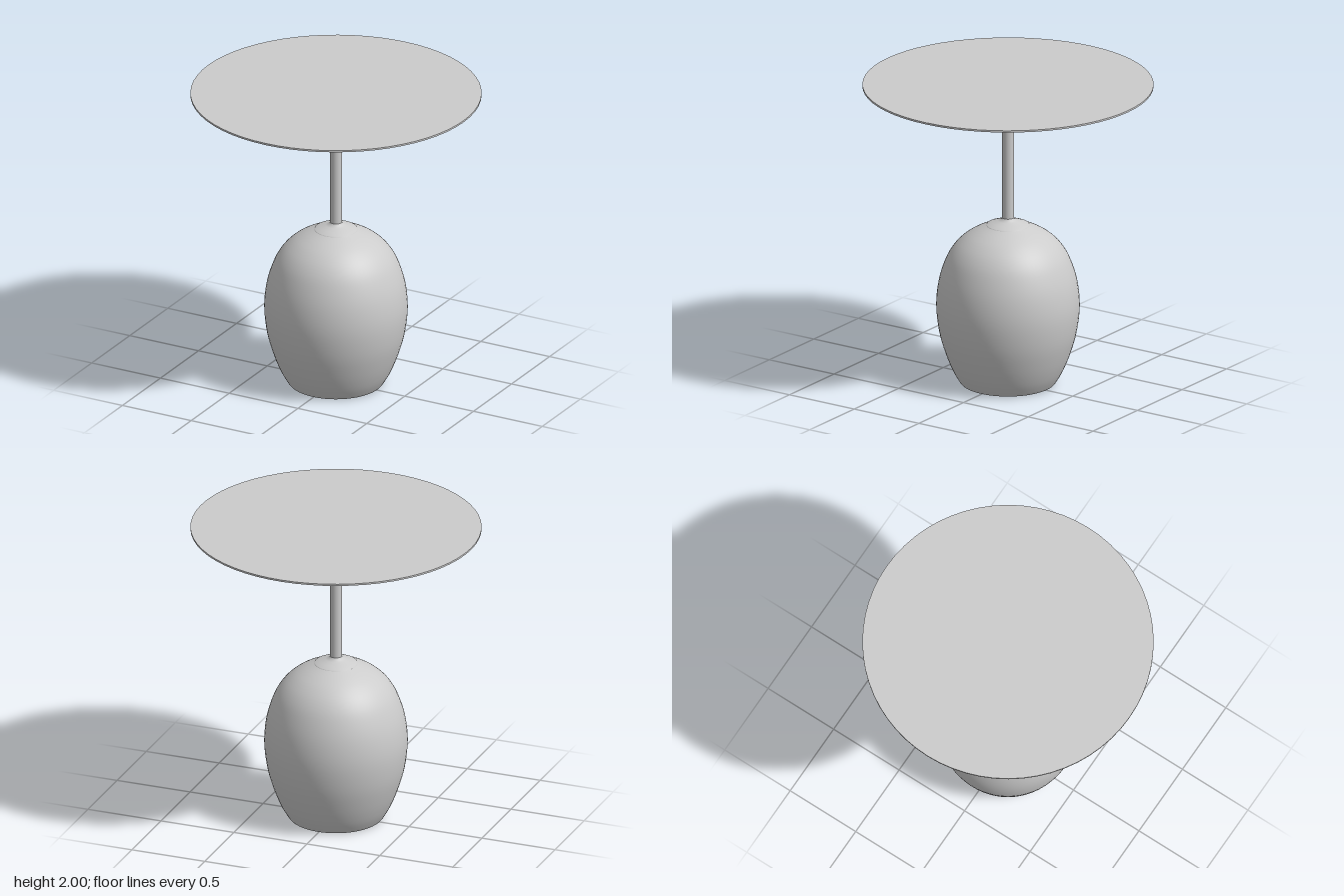
import * as THREE from 'three';

const material = new THREE.MeshStandardMaterial({ color: 0xcccccc });
const SIDES = 64;

const points = (pairs) => pairs.map(([r, y]) => new THREE.Vector2(r, y));

function addMesh(group, name, geometry) {
  const mesh = new THREE.Mesh(geometry, material);
  mesh.name = name;
  group.add(mesh);
  return mesh;
}

export function createModel() {
  const group = new THREE.Group();
  group.name = 'pedestalTable';

  // Rounded, barrel-like base
  const side = new THREE.SplineCurve(points([
    [0.308, 0.012], [0.35, 0.085], [0.397, 0.2], [0.439, 0.35], [0.457, 0.52],
    [0.441, 0.68], [0.397, 0.82], [0.345, 0.91], [0.28, 0.975], [0.21, 1.02], [0.135, 1.055],
  ])).getPoints(40);
  const rim = points([[0.292, 0], [0.301, 0.004]]);
  addMesh(group, 'base', new THREE.LatheGeometry([...rim, ...side], SIDES));

  // Flat underside of the base
  const underside = new THREE.CircleGeometry(0.292, SIDES);
  underside.rotateX(Math.PI / 2);
  addMesh(group, 'baseUnderside', underside);

  // Shallow collar where the stem meets the base
  addMesh(group, 'collar', new THREE.LatheGeometry(points([
    [0.138, 1.055], [0.135, 1.06], [0.1, 1.073], [0.065, 1.085], [0.045, 1.093], [0.038, 1.105],
  ]), SIDES));

  // Slender stem with a small flare under the top
  addMesh(group, 'stem', new THREE.LatheGeometry(points([
    [0.038, 1.06], [0.038, 1.96], [0.041, 1.972], [0.048, 1.982], [0.06, 1.989],
  ]), 32));

  // Thin round table top
  addMesh(group, 'tableTop', new THREE.CylinderGeometry(0.927, 0.927, 0.012, SIDES)).position.y = 1.994;

  return group;
}
